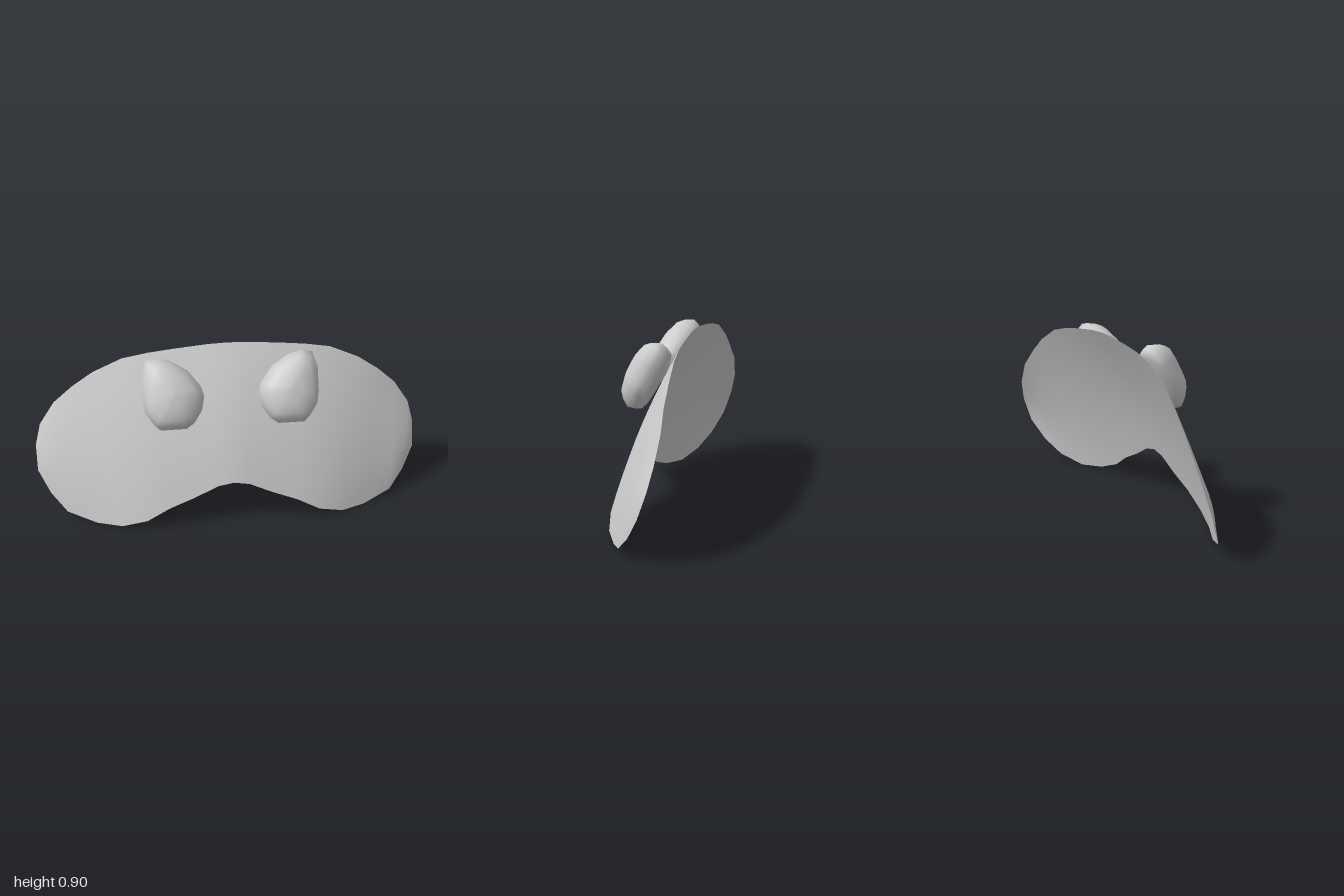
import * as THREE from 'three';

// Builds a smooth indexed surface from rows of [x, y, z] points of equal length.
function loft(rows, closed) {
  const n = rows[0].length, index = [];
  for (let r = 0; r < rows.length - 1; r++) {
    for (let i = 0; i < (closed ? n : n - 1); i++) {
      const j = (i + 1) % n, a = r * n + i, b = r * n + j;
      index.push(a, b, b + n, a, b + n, a + n);
    }
  }
  const g = new THREE.BufferGeometry();
  g.setAttribute('position', new THREE.Float32BufferAttribute(rows.flat(2), 3));
  g.setIndex(index);
  g.computeVertexNormals();
  return g;
}

// Upper and lower rim of the curved plate, from the middle out to the side tip
const TOP = [[0, .905, -.14], [.1, .902, -.14], [.27, .885, -.143], [.4, .868, -.147], [.53, .84, -.155],
  [.68, .765, -.165], [.79, .685, -.17], [.89, .59, -.18], [.97, .47, -.17], [1, .36, -.145]];
const BOTTOM = [[0, .26, .17], [.08, .245, .17], [.2, .185, .173], [.33, .13, .177], [.45, .06, .18],
  [.58, .015, .15], [.71, .003, .09], [.86, .04, .025], [.94, .12, -.04], [1, .23, -.1]];

function plateGeometry() {
  const mirror = rim => [...rim.slice(1).reverse().map(([x, y, z]) => [-x, y, z]), ...rim];
  const top = mirror(TOP), bottom = mirror(BOTTOM), steps = 8, rows = [];
  for (let k = 0; k <= steps; k++) {
    const s = k / steps;
    rows.push(bottom.map((b, i) => {
      const p = b.map((v, c) => v + (top[i][c] - v) * s);
      // slight forward bulge, fading out at the tips
      const fade = i === 0 || i === bottom.length - 1 ? 0 : 1;
      p[2] += .025 * 4 * s * (1 - s) * fade;
      return p;
    }));
  }
  return loft(rows, false);
}

// Outline of a pod in its own tilted plane, counter-clockwise
const POD = [[.07, .18], [.125, .17], [.15, .09], [.15, -.03], [.14, -.09], [.1, -.15], [.07, -.178],
  [-.06, -.178], [-.1, -.15], [-.14, -.09], [-.155, -.02], [-.14, .03], [-.08, .11], [.005, .165]].reverse();
// Height above the base plane and outline scale of each layer, from the flat back to the domed front
const LAYERS = [[.302, 0], [.302, .85], [.335, .95], [.368, 1], [.405, .88], [.433, .72], [.452, .38], [.457, 0]];

function podGeometry(side) {
  const rows = LAYERS.map(([h, scale]) => {
    const ring = POD.map(([u, v]) => {
      const t = .633 + v * scale;
      return [side * (.29 + u * scale), .46 * h + .888 * t, .888 * h - .46 * t];
    });
    return side > 0 ? ring : ring.reverse();
  });
  return loft(rows, true);
}

export function createModel() {
  const group = new THREE.Group();
  const add = (name, geometry, side) => {
    const mesh = new THREE.Mesh(geometry, new THREE.MeshStandardMaterial({ color: 0xcccccc, side }));
    mesh.name = name;
    group.add(mesh);
  };
  add('curvedPlate', plateGeometry(), THREE.DoubleSide);
  add('leftPod', podGeometry(1), THREE.FrontSide);
  add('rightPod', podGeometry(-1), THREE.FrontSide);
  return group;
}
